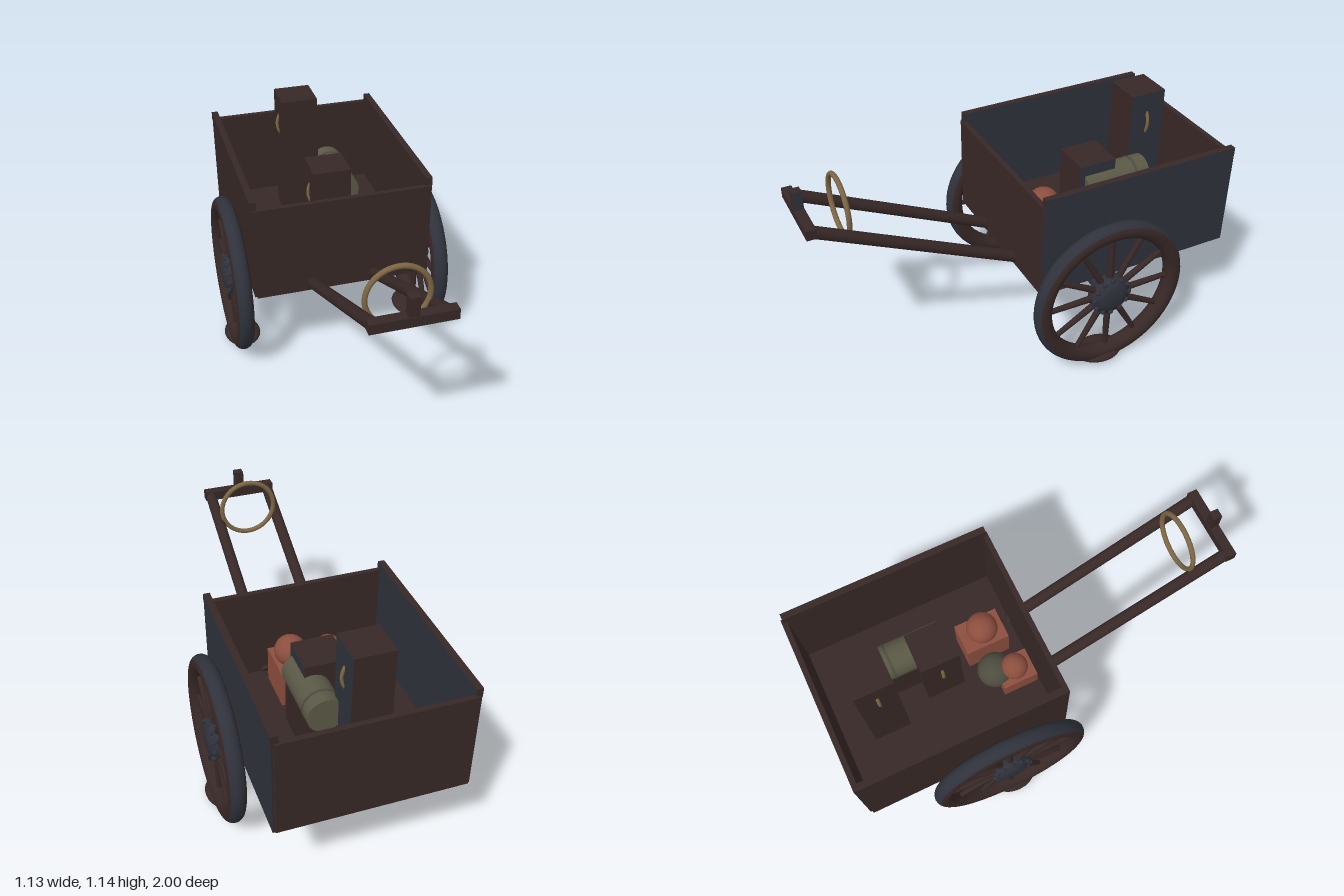
import * as THREE from 'three';

const mat = (name, color, side = THREE.FrontSide) => {
  const m = new THREE.MeshStandardMaterial({ color, side });
  m.name = name;
  return m;
};

export function createModel() {
  const wood = mat('dark wood', 0x372826);
  const iron = mat('slate iron', 0x2f323b);
  const rope = mat('rope', 0x7d6644);
  const clay = mat('terracotta', 0x8c4e3e);
  const olive = mat('olive cloth', 0x5a5845);
  const moss = mat('grey green cloth', 0x4d4c3f);
  // planks whose +x face is weathered slate
  const weathered = [iron, wood, wood, wood, wood, wood];

  const model = new THREE.Group();
  model.name = 'handcart';

  const add = (parent, name, geo, material, x = 0, y = 0, z = 0) => {
    const m = new THREE.Mesh(geo, material);
    m.name = name;
    m.position.set(x, y, z);
    parent.add(m);
    return m;
  };
  // box given by its minimum and maximum on each axis
  const block = (parent, name, material, x0, x1, y0, y1, z0, z1) =>
    add(parent, name, new THREE.BoxGeometry(x1 - x0, y1 - y0, z1 - z0), material,
      (x0 + x1) / 2, (y0 + y1) / 2, (z0 + z1) / 2);
  const ring = (parent, name, x, y, z, r, tube) =>
    add(parent, name, new THREE.TorusGeometry(r, tube, 10, 48), rope, x, y, z);

  // cart bed: floor, end boards, side boards and top rails
  const bed = new THREE.Group();
  bed.name = 'cartBed';
  model.add(bed);
  block(bed, 'floor', wood, -0.425, 0.425, 0.46, 0.49, -0.975, 0.005);
  block(bed, 'frontBoard', weathered, -0.43, 0.43, 0.46, 0.945, 0, 0.025);
  block(bed, 'backBoard', weathered, -0.43, 0.43, 0.47, 0.95, -0.995, -0.97);
  for (const s of [-1, 1]) {
    const wall = s * 0.427, rail = s * 0.426;
    block(bed, 'sideBoard', weathered, wall - 0.013, wall + 0.013, 0.465, 0.945, -0.985, 0.018);
    block(bed, 'sideRail', weathered, rail - 0.016, rail + 0.016, 0.945, 0.987, -0.985, 0.015);
  }

  // axle
  const axle = add(model, 'axle', new THREE.CylinderGeometry(0.037, 0.037, 0.94, 24), iron, 0, 0.405, -0.305);
  axle.rotation.z = Math.PI / 2;

  // wheels: rim cross-section is an arc of a circle turned around the axle
  const rimArc = (from, to, r) => {
    const pts = [];
    for (let i = 0; i <= 12; i++) {
      const a = THREE.MathUtils.degToRad(from + (to - from) * i / 12);
      pts.push(new THREE.Vector2(0.353 + r * Math.cos(a), r * Math.sin(a)));
    }
    return new THREE.LatheGeometry(pts, 64);
  };
  const hubProfile = [[0, -0.048], [0.07, -0.048], [0.07, -0.03], [0.1, -0.025], [0.1, 0.025],
    [0.078, 0.034], [0.07, 0.044], [0.045, 0.051], [0, 0.053]].map(p => new THREE.Vector2(...p));
  const hubGeo = new THREE.LatheGeometry(hubProfile, 32);
  const spokeGeo = new THREE.CylinderGeometry(0.013, 0.017, 0.25, 10);
  const studGeo = new THREE.SphereGeometry(0.013, 10, 8);

  for (const s of [-1, 1]) {
    const wheel = new THREE.Group();
    wheel.name = s > 0 ? 'leftWheel' : 'rightWheel';
    wheel.position.set(s * 0.498, 0.405, -0.305);
    wheel.rotation.z = -s * Math.PI / 2;
    model.add(wheel);
    add(wheel, 'tyre', rimArc(-55, 55, 0.0425), iron);
    add(wheel, 'rim', rimArc(55, 305, 0.0425), wood);
    add(wheel, 'hub', hubGeo, iron);
    for (let i = 0; i < 12; i++) {
      const a = i * Math.PI / 6;
      const spoke = new THREE.Group();
      spoke.name = 'spoke';
      spoke.rotation.y = a;
      wheel.add(spoke);
      add(spoke, 'spokeRod', spokeGeo, wood, 0.205, 0, 0).rotation.z = -Math.PI / 2;
      add(spoke, 'hubStud', studGeo, iron, 0.092, 0.028, 0);
    }
    // mud clod under the wheel
    add(model, 'mudClod', new THREE.SphereGeometry(1, 24, 16), wood, s * 0.47, 0.035, -0.285)
      .scale.set(0.093, 0.031, 0.122);
  }

  // pulling handle: two sloping shafts, crossbar, peg and hanging rope ring
  const handle = new THREE.Group();
  handle.name = 'handle';
  model.add(handle);
  const dy = 0.47, dz = 0.985;
  for (const s of [-1, 1]) {
    const shaft = add(handle, 'shaft',
      new THREE.CylinderGeometry(0.028, 0.028, Math.hypot(dy, dz), 16), wood,
      s * 0.156, 0.485 + dy / 2, -0.005 + dz / 2);
    shaft.rotation.x = Math.atan2(dz, dy);
  }
  block(handle, 'crossbar', wood, -0.185, 0.185, 0.93, 0.977, 0.953, 1.0);
  block(handle, 'peg', weathered, -0.024, 0.02, 0.975, 1.066, 0.955, 0.998);
  ring(handle, 'ropeRing', 0, 0.94, 0.8, 0.14, 0.012);

  // cargo
  const cargo = new THREE.Group();
  cargo.name = 'cargo';
  model.add(cargo);
  block(cargo, 'tallCrate', weathered, -0.128, 0.057, 0.49, 1.145, -0.837, -0.655);
  ring(cargo, 'tallCrateRope', -0.035, 0.99, -0.746, 0.102, 0.008);
  block(cargo, 'lowCrate', weathered, -0.05, 0.145, 0.49, 0.89, -0.525, -0.335);
  ring(cargo, 'lowCrateRope', 0.048, 0.74, -0.43, 0.106, 0.008);

  // bedroll lying lengthwise with a raised band
  const roll = add(cargo, 'bedroll', new THREE.CylinderGeometry(0.084, 0.084, 0.34, 24), olive, 0.11, 0.76, -0.53);
  roll.rotation.x = Math.PI / 2;
  const band = add(cargo, 'bedrollBand', new THREE.CylinderGeometry(0.087, 0.087, 0.012, 24), moss, 0.11, 0.76, -0.63);
  band.rotation.x = Math.PI / 2;
  block(cargo, 'bedrollStand', wood, 0.04, 0.18, 0.49, 0.7, -0.69, -0.37);

  // round bundle and two clay blocks topped with balls
  add(cargo, 'bundle', new THREE.SphereGeometry(0.085, 24, 16), moss, -0.083, 0.575, -0.185);
  block(cargo, 'clayBlock', clay, 0.012, 0.168, 0.49, 0.67, -0.28, -0.065);
  add(cargo, 'clayBall', new THREE.SphereGeometry(0.075, 24, 16), clay, 0.09, 0.715, -0.168);
  block(cargo, 'clayBlock', clay, -0.195, -0.052, 0.49, 0.59, -0.185, -0.012);
  add(cargo, 'clayBall', new THREE.SphereGeometry(0.064, 24, 16), clay, -0.124, 0.63, -0.1);

  return model;
}
